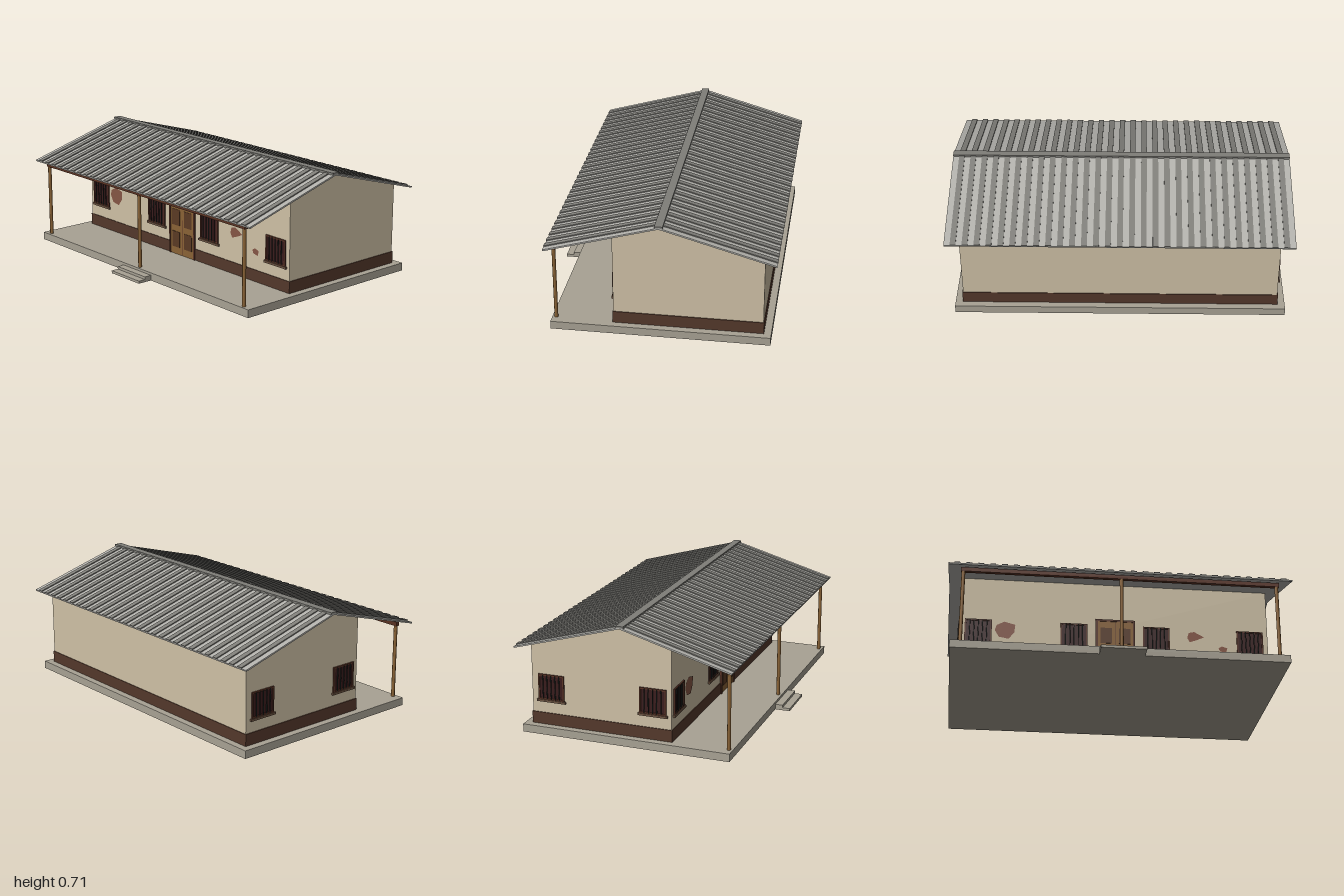
import * as THREE from 'three';

const mat = (color, extra = {}) => new THREE.MeshStandardMaterial({ color, ...extra });
const M = {
  stone: mat(0xa8a294), wall: mat(0xcfc1a6), plinth: mat(0x54382b), sheet: mat(0xb2b1ac), rib: mat(0x7f7e79),
  post: mat(0x8a6336), beam: mat(0x5a3222), door: mat(0x8a6336), panel: mat(0x5a3a24), frame: mat(0x5a3426),
  pane: mat(0x3a1c1c), bar: mat(0x1e2522), sill: mat(0x6b5240), brick: mat(0x865645, { side: THREE.DoubleSide }),
};
const GROUND = 0.047, RIDGE_Z = -0.033, RIDGE_Y = 0.706, FRONT = 0.24, BACK = -0.61, HALF = 0.922;
const RUN = 0.648, DROP = 0.184;

// Box given by its min and max corners
function box(parent, name, material, x0, x1, y0, y1, z0, z1) {
  const mesh = new THREE.Mesh(new THREE.BoxGeometry(x1 - x0, y1 - y0, z1 - z0), material);
  mesh.position.set((x0 + x1) / 2, (y0 + y1) / 2, (z0 + z1) / 2);
  mesh.name = name;
  parent.add(mesh);
  return mesh;
}

function group(parent, name) {
  const g = new THREE.Group();
  g.name = name;
  parent.add(g);
  return g;
}

// Barred window, its back lying on z = 0, centred on x = 0
function barredWindow(parent) {
  const w = group(parent, 'window');
  const h = 0.08, y0 = 0.198, y1 = 0.35, t = 0.009;
  box(w, 'windowPane', M.pane, -h, h, y0, y1, -0.004, 0.003);
  for (const s of [-1, 1]) {
    box(w, 'windowFrameSide', M.frame, s * (h - t / 2) - t / 2, s * (h - t / 2) + t / 2, y0, y1, 0, 0.008);
  }
  box(w, 'windowFrameTop', M.frame, -h, h, y1 - t, y1, 0, 0.008);
  box(w, 'windowFrameBottom', M.frame, -h, h, y0, y0 + t, 0, 0.008);
  for (let i = -2; i <= 2; i++) {
    const bar = new THREE.Mesh(new THREE.CylinderGeometry(0.003, 0.003, y1 - y0 - t, 6), M.bar);
    bar.position.set(i * 0.025, (y0 + y1) / 2, 0.008);
    bar.name = 'windowBar';
    w.add(bar);
  }
  box(w, 'windowSill', M.sill, -h - 0.009, h + 0.009, y0 - 0.013, y0, -0.002, 0.013);
  return w;
}

// One pitch of the roof, sloping down from the ridge towards +z
function roofPitch(parent, name) {
  const p = group(parent, name);
  const len = Math.hypot(RUN, DROP);
  box(p, 'roofSheet', M.sheet, -1, 1, -0.009, 0, 0, len);
  for (let i = -14; i <= 14; i++) {
    const x = i * 0.0677;
    box(p, 'roofRib', M.rib, x - 0.0165, x + 0.0165, -0.001, 0.006, 0, len);
  }
  p.position.set(0, RIDGE_Y, RIDGE_Z);
  return p;
}

function brickPatch(parent, points) {
  const shape = new THREE.Shape(points.map(([x, y]) => new THREE.Vector2(x, y)));
  const patch = new THREE.Mesh(new THREE.ShapeGeometry(shape), M.brick);
  patch.position.z = FRONT + 0.003;
  patch.name = 'exposedBrick';
  parent.add(patch);
}

export function createModel() {
  const house = new THREE.Group();
  house.name = 'house';

  // Floor slab and entrance steps
  box(house, 'floorSlab', M.stone, -0.97, 0.97, 0, GROUND, -0.655, 0.595);
  box(house, 'upperStep', M.stone, -0.13, 0.13, 0, 0.032, 0.595, 0.64);
  box(house, 'lowerStep', M.stone, -0.13, 0.13, 0, 0.016, 0.595, 0.685);

  // Walls: gable outline extruded along x
  const under = z => RIDGE_Y - 0.008 - Math.abs(z - RIDGE_Z) * DROP / RUN;
  const outline = [[FRONT, GROUND], [FRONT, under(FRONT)], [RIDGE_Z, under(RIDGE_Z)], [BACK, under(BACK)], [BACK, GROUND]];
  const gable = new THREE.Shape(outline.map(([z, y]) => new THREE.Vector2(-z, y)));
  const wallGeometry = new THREE.ExtrudeGeometry(gable, { depth: HALF * 2, bevelEnabled: false });
  wallGeometry.translate(0, 0, -HALF).rotateY(Math.PI / 2);
  const walls = new THREE.Mesh(wallGeometry, M.wall);
  walls.name = 'walls';
  house.add(walls);
  box(house, 'paintedPlinth', M.plinth, -HALF - 0.005, HALF + 0.005, GROUND, 0.117, BACK - 0.004, FRONT + 0.004);

  // Roof
  const roof = group(house, 'roof');
  const pitch = Math.atan2(DROP, RUN);
  roofPitch(roof, 'frontPitch').rotation.x = pitch;
  roofPitch(roof, 'backPitch').rotation.set(pitch, Math.PI, 0, 'YXZ');
  box(roof, 'ridgeCap', M.rib, -1, 1, RIDGE_Y - 0.006, 0.713, RIDGE_Z - 0.023, RIDGE_Z + 0.023);

  // Porch posts and beam
  const porch = group(house, 'porch');
  for (const x of [-0.912, 0, 0.912]) {
    const post = new THREE.Mesh(new THREE.CylinderGeometry(0.011, 0.011, 0.49 - GROUND, 8), M.post);
    post.position.set(x, (0.49 + GROUND) / 2, 0.572);
    post.name = 'porchPost';
    porch.add(post);
  }
  box(porch, 'porchBeam', M.beam, -0.926, 0.926, 0.488, 0.513, 0.561, 0.583);

  // Double door
  const door = group(house, 'doubleDoor');
  door.position.z = FRONT;
  for (const s of [-1, 1]) {
    const side = (name, m, a, b, ...rest) => box(door, name, m, Math.min(s * a, s * b), Math.max(s * a, s * b), ...rest);
    side('doorJamb', M.frame, 0.105, 0.118, GROUND, 0.385, 0, 0.011);
    side('doorLeaf', M.door, 0.002, 0.105, GROUND, 0.373, 0, 0.007);
    side('upperDoorPanel', M.panel, 0.021, 0.09, 0.23, 0.33, 0.005, 0.01);
    side('lowerDoorPanel', M.panel, 0.021, 0.09, 0.092, 0.19, 0.005, 0.01);
  }
  box(door, 'doorHead', M.frame, -0.118, 0.118, 0.373, 0.385, 0, 0.011);
  box(door, 'doorGap', M.frame, -0.002, 0.002, GROUND, 0.373, 0, 0.006);

  // Windows on the front and on the right-hand end
  for (const x of [-0.813, -0.246, 0.246, 0.813]) barredWindow(house).position.set(x, 0, FRONT);
  for (const z of [-0.49, 0.13]) {
    const w = barredWindow(house);
    w.position.set(-HALF, 0, z);
    w.rotation.y = -Math.PI / 2;
  }

  // Patches of fallen plaster
  brickPatch(house, [[-0.715, 0.285], [-0.705, 0.318], [-0.66, 0.342], [-0.595, 0.325], [-0.6, 0.275], [-0.632, 0.232], [-0.69, 0.242]]);
  brickPatch(house, [[0.433, 0.292], [0.442, 0.325], [0.475, 0.333], [0.535, 0.3], [0.49, 0.28], [0.447, 0.264]]);
  brickPatch(house, [[0.62, 0.232], [0.642, 0.246], [0.675, 0.235], [0.665, 0.205], [0.63, 0.213]]);

  return house;
}
